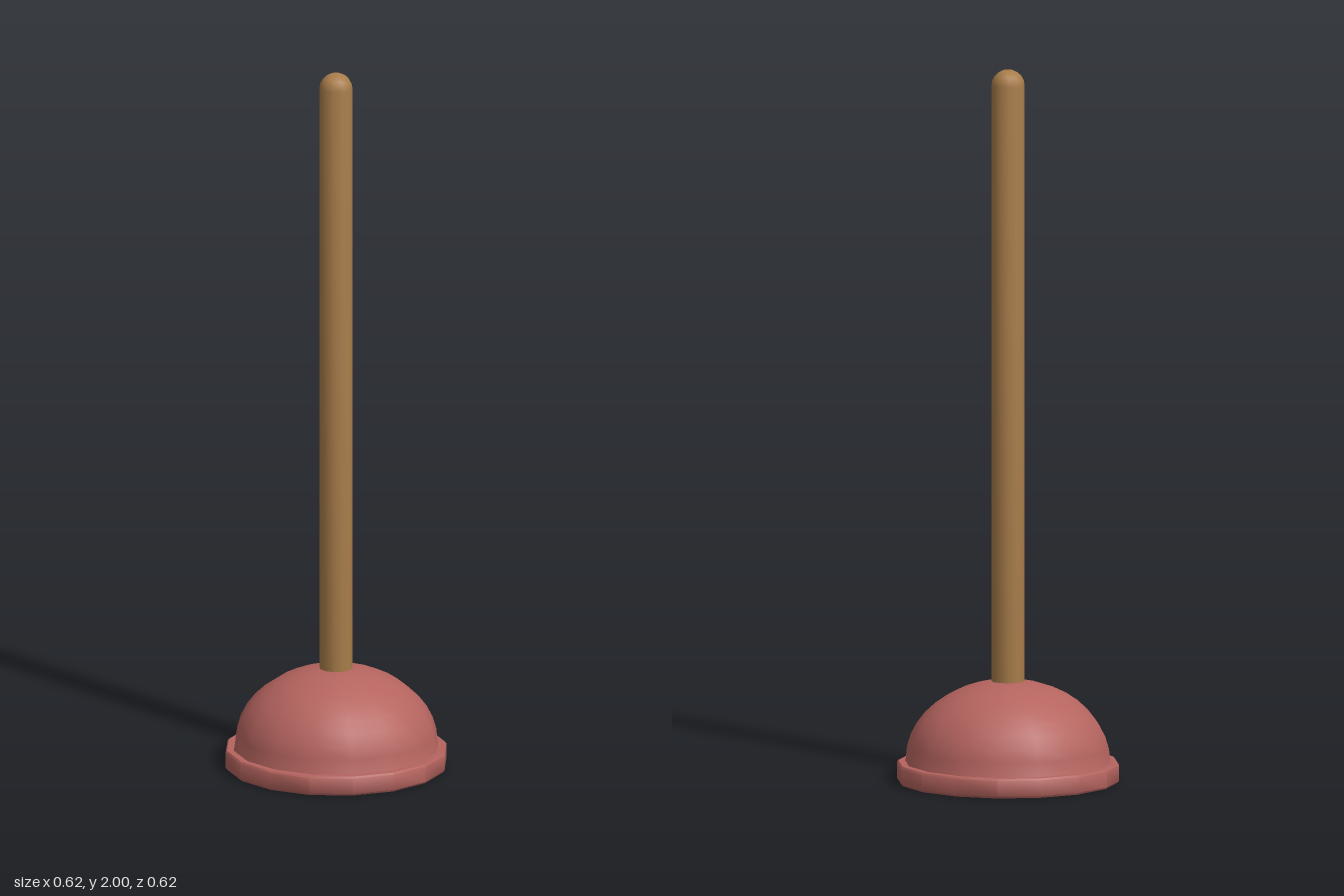
import * as THREE from 'three';
import { toCreasedNormals } from 'three/addons/utils/BufferGeometryUtils.js';

// Points on a quarter ellipse from its equator (radius r, height y0) up to the apex
function domeProfile(r, y0, height, steps) {
  const points = [];
  for (let i = 0; i <= steps; i++) {
    const a = (i / steps) * Math.PI / 2;
    const radius = i === steps ? 0 : r * Math.cos(a);
    points.push(new THREE.Vector2(radius, y0 + height * Math.sin(a)));
  }
  return points;
}

function turned(name, points, sides, material) {
  const geometry = toCreasedNormals(new THREE.LatheGeometry(points, sides), 0.75);
  const mesh = new THREE.Mesh(geometry, material);
  mesh.name = name;
  return mesh;
}

export function createModel() {
  const model = new THREE.Group();
  model.name = 'plunger';
  const rubber = new THREE.MeshStandardMaterial({ color: 0xb5645f });
  const wood = new THREE.MeshStandardMaterial({ color: 0xa87c4a });

  // Hollow rubber cup: inner dome, thick rim, outer dome
  const cup = [
    ...domeProfile(0.28, 0.04, 0.225, 10).reverse(),
    new THREE.Vector2(0.285, 0),
    new THREE.Vector2(0.305, 0),
    new THREE.Vector2(0.31, 0.006),
    new THREE.Vector2(0.31, 0.05),
    new THREE.Vector2(0.306, 0.055),
    new THREE.Vector2(0.287, 0.055),
    ...domeProfile(0.285, 0.06, 0.225, 10),
  ];
  model.add(turned('cup', cup, 16, rubber));

  // Wooden handle with a rounded end
  const handle = [
    new THREE.Vector2(0, 0.272),
    new THREE.Vector2(0.046, 0.272),
    ...domeProfile(0.046, 1.957, 0.043, 5),
  ];
  model.add(turned('handle', handle, 12, wood));

  return model;
}
